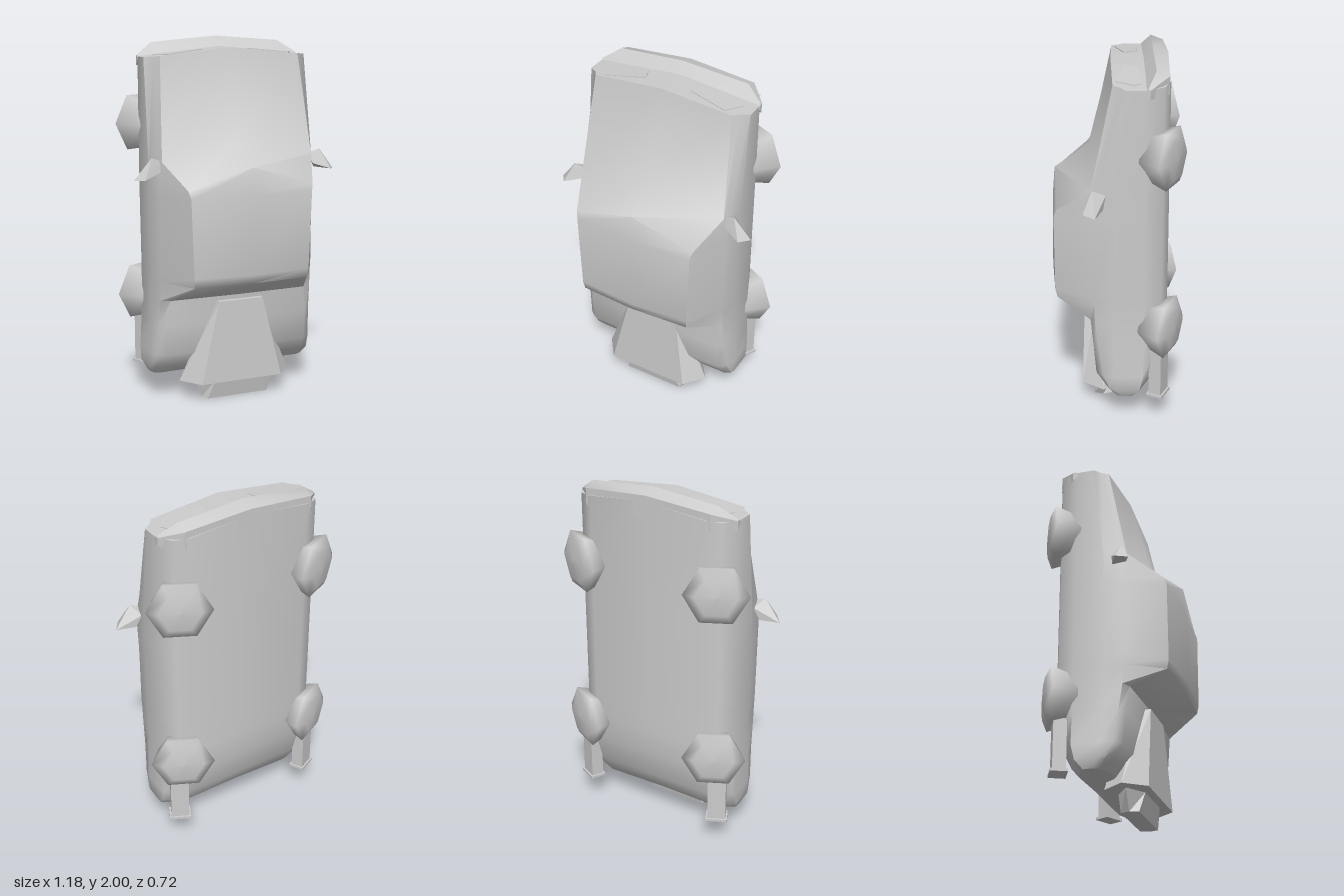
import * as THREE from 'three';
import { toCreasedNormals } from 'three/addons/utils/BufferGeometryUtils.js';
import { ConvexGeometry } from 'three/addons/geometries/ConvexGeometry.js';

const grey = new THREE.MeshStandardMaterial({ color: 0xcccccc });

// Skin a list of equal-length rings and close both ends
function loft(rings, crease) {
  const n = rings[0].length;
  const pos = rings.flat(2);
  const idx = [];
  for (let i = 0; i < rings.length - 1; i++) {
    for (let j = 0; j < n; j++) {
      const a = i * n + j, b = i * n + (j + 1) % n;
      idx.push(a, a + n, b, b, a + n, b + n);
    }
  }
  [0, rings.length - 1].forEach((r, end) => {
    const p = rings[r][0], q = rings[r][n / 2], c = pos.length / 3;
    pos.push(...p.map((v, k) => (v + q[k]) / 2));
    for (let j = 0; j < n; j++) {
      const a = r * n + j, b = r * n + (j + 1) % n;
      if (end) idx.push(c, b, a);
      else idx.push(c, a, b);
    }
  });
  const g = new THREE.BufferGeometry();
  g.setAttribute('position', new THREE.Float32BufferAttribute(pos, 3));
  g.setIndex(idx);
  return toCreasedNormals(g.toNonIndexed(), crease);
}

// Car body section: the centre line sits at y, sides fall by drop per unit x
function bodyRing([y, drop, zBase, w, beltX, beltZ, edgeX, edgeZ, zTop]) {
  const half = [
    [0, zBase], [0.35, zBase], [0.43, zBase + 0.035], [w, Math.max(-0.14, zBase + 0.06)],
    [w, Math.min(0.02, beltZ - 0.03)], [beltX, beltZ], [edgeX, edgeZ], [0, zTop],
  ];
  const other = half.slice(1, -1).reverse().map(([x, z]) => [-x, z]);
  return [...half, ...other].map(([x, z]) => [x, y - drop * Math.abs(x), z]);
}

// Six-sided section for the thruster parts
function hexRing(y, sideX, flatX, zBack, zFront) {
  const m = (zBack + zFront) / 2;
  return [[-sideX, y, m], [-flatX, y, zBack], [flatX, y, zBack],
    [sideX, y, m], [flatX, y, zFront], [-flatX, y, zFront]];
}

export function createModel() {
  const group = new THREE.Group();
  const add = (name, geometry, matrix) => {
    const mesh = new THREE.Mesh(geometry, grey);
    mesh.name = name;
    if (matrix) mesh.applyMatrix4(matrix);
    group.add(mesh);
  };

  // Body, from tail (bottom) to nose (top)
  add('body', loft([
    [0.16, 0.02, -0.14, 0.465, 0.455, 0.0, 0.42, 0.02, 0.03],
    [0.20, 0, -0.18, 0.487, 0.475, 0.04, 0.43, 0.06, 0.075],
    [0.28, 0, -0.22, 0.484, 0.465, 0.08, 0.42, 0.115, 0.125],
    [0.45, 0, -0.265, 0.475, 0.455, 0.10, 0.42, 0.13, 0.14],
    [0.595, 0, -0.27, 0.47, 0.45, 0.12, 0.40, 0.145, 0.155],
    [0.70, 0, -0.27, 0.47, 0.45, 0.125, 0.33, 0.325, 0.345],
    [0.75, 0, -0.27, 0.47, 0.45, 0.13, 0.335, 0.335, 0.36],
    [1.18, 0, -0.27, 0.475, 0.45, 0.13, 0.35, 0.335, 0.352],
    [1.33, 0.3, -0.27, 0.475, 0.45, 0.125, 0.36, 0.32, 0.34],
    [1.46, 0.24, -0.27, 0.475, 0.455, 0.11, 0.44, 0.14, 0.155],
    [1.945, 0.1, -0.27, 0.475, 0.43, -0.01, 0.405, 0.025, 0.033],
  ].map(bodyRing), 0.85));

  // Front bumper, raised along the lower edge of the nose
  const bumper = [
    [0.476, [1.88, -0.13], [1.905, -0.15], [1.90, -0.165], [1.85, -0.16]],
    [0.38, [1.89, -0.13], [1.97, -0.195], [1.945, -0.262], [1.85, -0.262]],
    [0, [1.93, -0.13], [2.0, -0.19], [1.975, -0.272], [1.85, -0.272]],
  ];
  const bumperRing = (s) => ([x, ...pts]) => pts.map(([y, z]) => [s * x, y, z]);
  add('frontBumper', loft([
    ...bumper.map(bumperRing(-1)),
    ...bumper.slice(0, -1).reverse().map(bumperRing(1)),
  ], 0.7));

  // Rear thruster and its nozzle
  add('thruster', loft([
    hexRing(0.11, 0.33, 0.24, -0.04, 0.195),
    hexRing(0.57, 0.135, 0.13, 0.05, 0.18),
  ], 0.2));
  add('thrusterNozzle', loft([
    hexRing(0, 0.195, 0.18, 0.03, 0.128),
    hexRing(0.112, 0.25, 0.14, 0.005, 0.15),
  ], 0.2));

  for (const s of [1, -1]) {
    const side = s > 0 ? 'left' : 'right';

    // Tilted frame shared by wheels and posts: local y points out and under
    const tilt = (x, y, z) => new THREE.Matrix4().makeBasis(
      new THREE.Vector3(0, -1, 0),
      new THREE.Vector3(0.444 * s, 0, -0.896),
      new THREE.Vector3(0.896, 0, 0.444 * s),
    ).setPosition(s * x, y, z);

    // Six-sided domed wheels
    const profile = [[0, -0.136], [0.126, -0.136], [0.174, 0], [0.113, 0.028], [0, 0.035]]
      .map(([r, h]) => new THREE.Vector2(r, h));
    // The ring starts on local z, which is the horizontal direction of the wheel
    for (const [name, y] of [['Front', 1.53], ['Rear', 0.565]]) {
      add(side + name + 'Wheel', new THREE.LatheGeometry(profile, 6), tilt(0.43, y, -0.283));
    }

    // Exhaust post below the rear wheel with a flared foot
    add(side + 'ExhaustPost', new THREE.BoxGeometry(0.28, 0.07, 0.1), tilt(0.425, 0.295, -0.225));
    add(side + 'ExhaustFoot', new THREE.BoxGeometry(0.015, 0.09, 0.12), tilt(0.425, 0.158, -0.225));

    // Headlight panel lying on the sloped nose
    const lamp = [[0.16, -0.11], [0.39, -0.12], [0.41, -0.08], [0.355, 0.01], [0.135, -0.04]];
    add(side + 'Headlight', new ConvexGeometry(lamp.flatMap(([x, z]) => [-0.01, 0.004]
      .map((h) => new THREE.Vector3(s * x, 1.945 - 0.1 * x + h, z)))));

    // Door mirror
    add(side + 'Mirror', new ConvexGeometry([
      [0.44, 1.36, 0.12], [0.46, 1.34, 0.06], [0.495, 1.38, 0.13], [0.59, 1.262, 0.117],
      [0.545, 1.27, 0.178], [0.49, 1.27, 0.075], [0.45, 1.3, 0.14],
    ].map(([x, y, z]) => new THREE.Vector3(s * x, y, z))));
  }

  return group;
}
